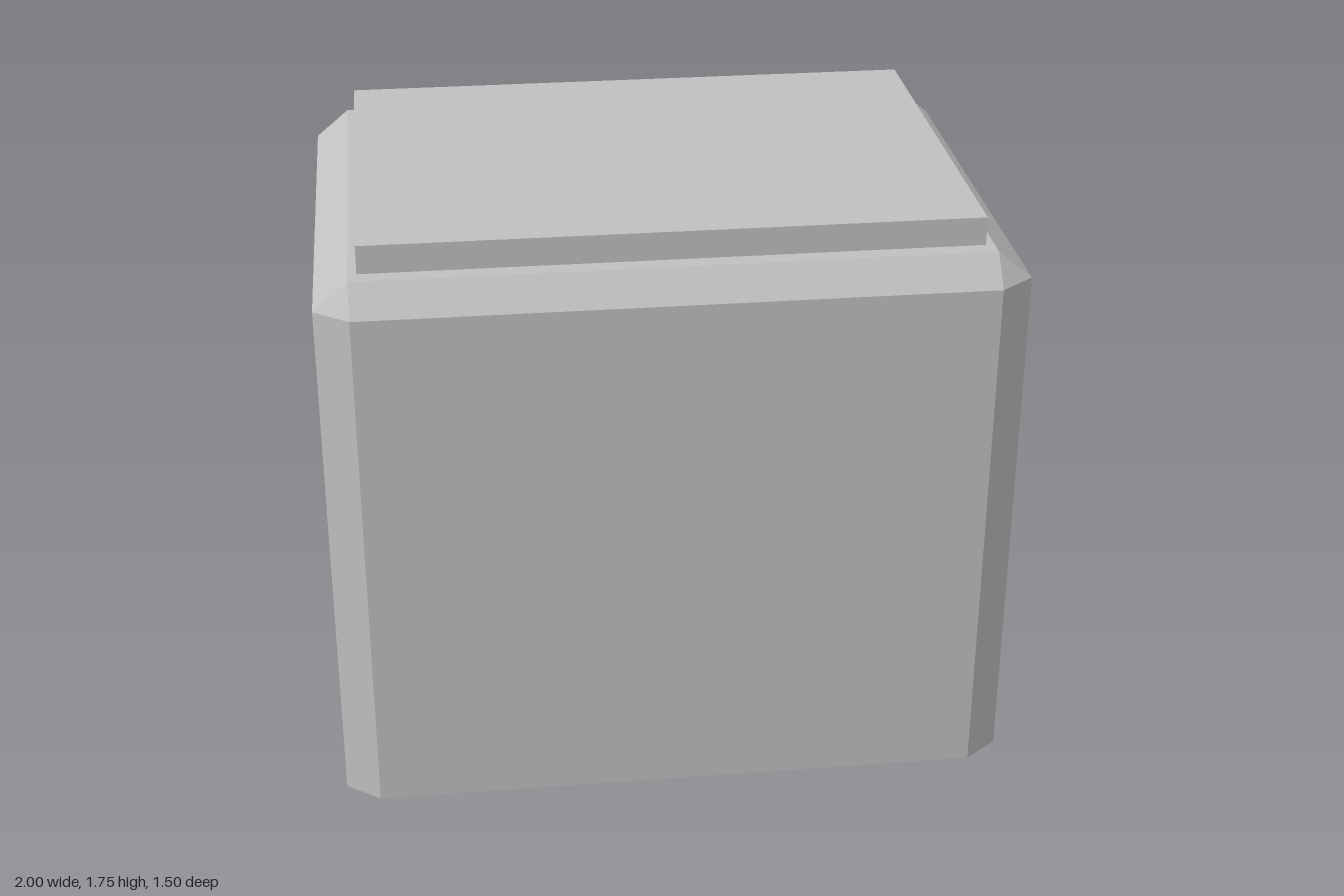
import * as THREE from 'three';

// Eight-point ring: a rectangle of half sizes hx, hz with corners cut by cx, cz
function ring(y, hx, hz, cx = 0, cz = 0) {
  const points = [];
  for (const [sx, sz] of [[1, 1], [-1, 1], [-1, -1], [1, -1]]) {
    const pair = [[sx * hx, y, sz * (hz - cz)], [sx * (hx - cx), y, sz * hz]];
    if (sx * sz < 0) pair.reverse();
    points.push(...pair);
  }
  return points;
}

// Join successive rings with flat faces, leaving out collapsed triangles
function loft(rings) {
  const positions = [];
  const same = (p, q) => p.every((v, i) => Math.abs(v - q[i]) < 1e-6);
  const tri = (a, b, c) => {
    if (!same(a, b) && !same(b, c) && !same(a, c)) positions.push(...a, ...b, ...c);
  };
  for (let i = 0; i < rings.length - 1; i++) {
    for (let j = 0; j < 8; j++) {
      const k = (j + 1) % 8;
      const a = rings[i][j], b = rings[i][k], c = rings[i + 1][k], d = rings[i + 1][j];
      tri(a, d, c);
      tri(a, c, b);
    }
  }
  const geometry = new THREE.BufferGeometry();
  geometry.setAttribute('position', new THREE.Float32BufferAttribute(positions, 3));
  geometry.computeVertexNormals();
  return geometry;
}

export function createModel() {
  const model = new THREE.Group();
  model.name = 'socketHousing';
  const grey = new THREE.MeshStandardMaterial({ color: 0xc0c0c0 });
  grey.name = 'lightGrey';

  const add = (name, geometry, x = 0, y = 0, z = 0) => {
    const mesh = new THREE.Mesh(geometry, grey);
    mesh.name = name;
    mesh.position.set(x, y, z);
    model.add(mesh);
  };

  // Housing in one skin: recess ceiling, recess walls, rim, outer walls, bevel, top
  const ceiling = 0.7;
  add('housing', loft([
    ring(ceiling, 0, 0),
    ring(ceiling, 0.81, 0.54),
    ring(0, 0.81, 0.54),
    ring(0, 1, 0.75, 0.1, 0.075),
    ring(1.583, 1, 0.75, 0.1, 0.075),
    ring(1.667, 0.9, 0.675),
    ring(1.667, 0, 0),
  ]));

  // Raised plate on top
  add('topPlate', new THREE.BoxGeometry(1.75, 0.083, 1.25), 0, 1.7085, 0);

  // Flat blades hanging from the recess ceiling, the middle one longer
  const blade = (name, x, z, bottom) => {
    const height = ceiling - bottom;
    add(name, new THREE.BoxGeometry(0.066, height, 0.39), x, bottom + height / 2, z);
  };
  blade('middleBlade', 0, 0, 0.12);
  blade('leftBlade', 0.67, 0.1, 0.2);
  blade('rightBlade', -0.67, 0.1, 0.2);

  return model;
}
